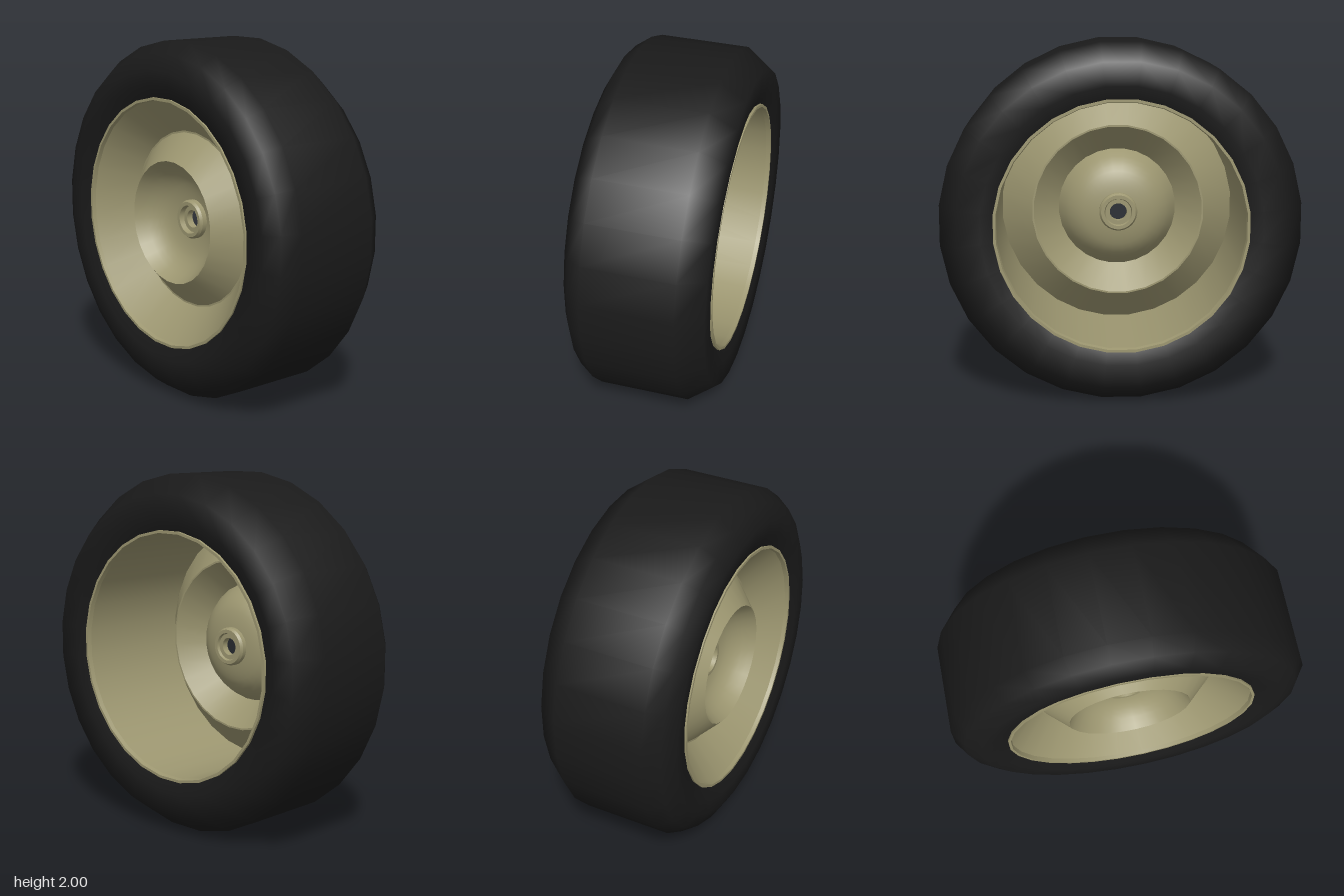
import * as THREE from 'three';

const SIDES = 28;
const FIT = 1 / Math.cos(Math.PI / SIDES); // flats, not corners, touch the given radius

// Revolve a [radius, z] profile about the z axis
function revolve(name, profile, material) {
  const points = profile.map(([r, z]) => new THREE.Vector2(r * FIT, z));
  const geometry = new THREE.LatheGeometry(points, SIDES, Math.PI / SIDES);
  geometry.rotateX(Math.PI / 2);
  const mesh = new THREE.Mesh(geometry, material);
  mesh.name = name;
  return mesh;
}

// Revolve with a hard edge at every profile point
function revolveCreased(name, profile, material) {
  const group = new THREE.Group();
  group.name = name;
  for (let i = 0; i < profile.length - 1; i++) {
    group.add(revolve(`${name}Band${i + 1}`, [profile[i], profile[i + 1]], material));
  }
  return group;
}

export function createModel() {
  const rubber = new THREE.MeshStandardMaterial({ color: 0x1a1a1a, side: THREE.DoubleSide });
  const paint = new THREE.MeshStandardMaterial({ color: 0x9c9670, side: THREE.DoubleSide });

  const wheel = new THREE.Group();
  wheel.name = 'wheel';

  // Tyre: rear bead, chamfered tread, front bead
  wheel.add(revolve('tyre', [
    [0.7, -0.36], [0.77, -0.385], [0.9, -0.388], [1, -0.25],
    [1, 0.255], [0.94, 0.34], [0.85, 0.388], [0.77, 0.383], [0.7, 0.355],
  ], rubber));

  // Rim barrel with a thin lip at each end
  wheel.add(revolveCreased('rimBarrel', [
    [0.7, -0.35], [0.7, -0.375], [0.685, -0.375], [0.68, -0.35],
    [0.68, 0.34], [0.685, 0.365], [0.7, 0.365], [0.7, 0.345],
  ], paint));

  // Thin pressed disc: cone inward, groove, then a raised cone
  wheel.add(revolveCreased('disc', [
    [0.683, 0.345], [0.5, 0.165], [0.49, 0.165], [0.345, 0.305],
  ], paint));

  // Curved central dish
  const dishCurve = new THREE.SplineCurve([
    [0.345, 0.305], [0.295, 0.225], [0.23, 0.17], [0.16, 0.145], [0.1, 0.135],
  ].map(([r, z]) => new THREE.Vector2(r, z)));
  wheel.add(revolve('dish', dishCurve.getPoints(10).map((p) => [p.x, p.y]), paint));

  // Hub ring around the open axle hole
  wheel.add(revolveCreased('hub', [
    [0.05, 0.11], [0.075, 0.11], [0.08, 0.095], [0.1, 0.095], [0.11, 0.11],
    [0.11, 0.165], [0.1, 0.18], [0.08, 0.18], [0.075, 0.15], [0.05, 0.15], [0.05, 0.11],
  ], paint));

  wheel.position.y = 1;
  const model = new THREE.Group();
  model.name = 'wheelModel';
  model.add(wheel);
  return model;
}
